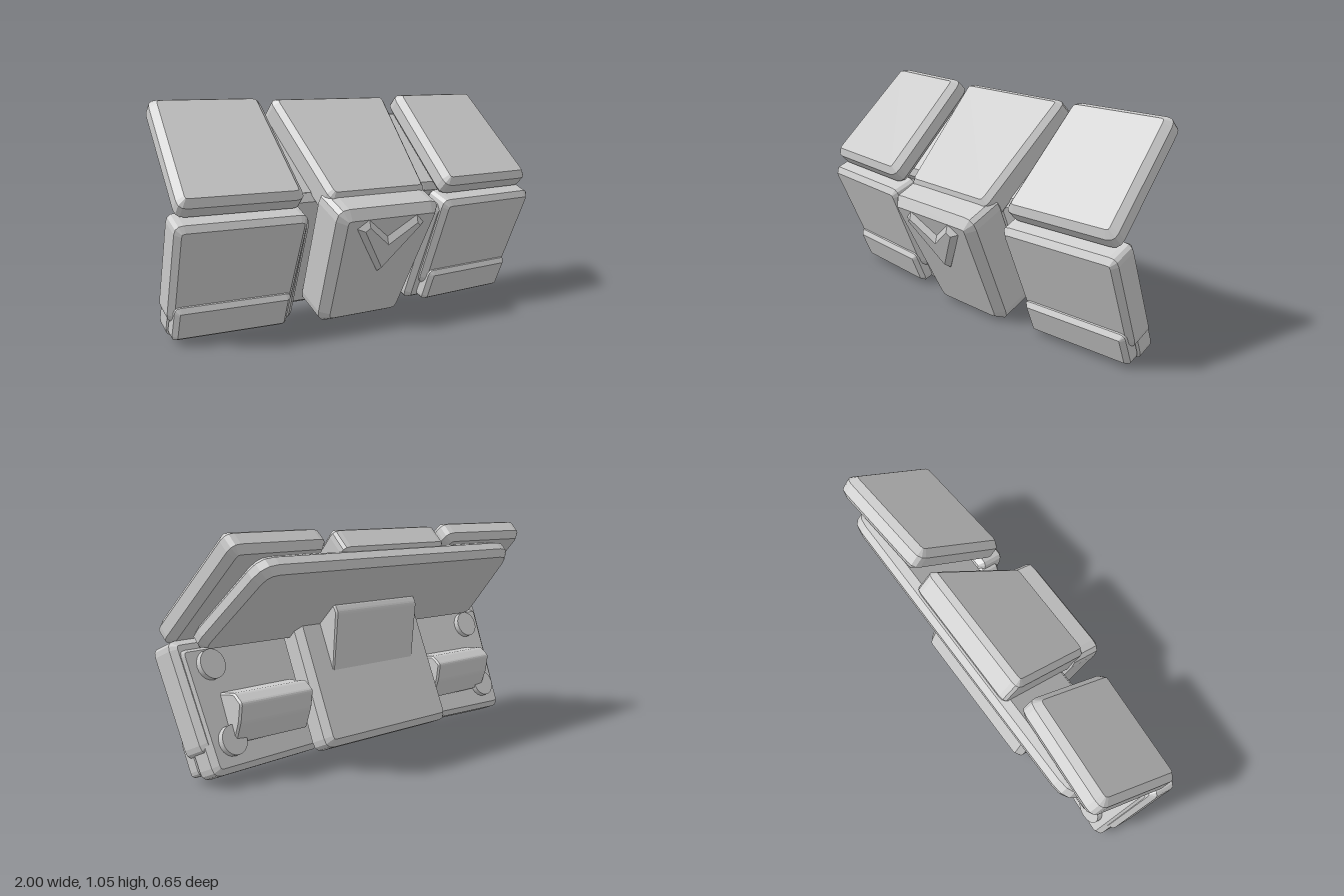
import * as THREE from 'three';

const grey = new THREE.MeshStandardMaterial({ color: 0xcccccc });
grey.name = 'plain grey';

const LOWER_TILT = THREE.MathUtils.degToRad(23);
const UPPER_TILT = THREE.MathUtils.degToRad(-45);

// Polygon with corners softened by r (sharp when r is 0)
function softShape(pts, r) {
  const v = pts.map(p => new THREE.Vector2(p[0], p[1]));
  if (r === 0) return new THREE.Shape(v);
  const shape = new THREE.Shape();
  v.forEach((p, i) => {
    const a = v[(i + v.length - 1) % v.length], b = v[(i + 1) % v.length];
    const pa = a.clone().sub(p).setLength(r).add(p);
    const pb = b.clone().sub(p).setLength(r).add(p);
    if (i === 0) shape.moveTo(pa.x, pa.y); else shape.lineTo(pa.x, pa.y);
    shape.quadraticCurveTo(p.x, p.y, pb.x, pb.y);
  });
  shape.closePath();
  return shape;
}

// Chamfered plate geometry: outline in x/y, from n0 (back) to n1 (front) along z
function plateGeometry(pts, n0, n1, bevel, r) {
  const geo = new THREE.ExtrudeGeometry(softShape(pts, r), {
    depth: n1 - n0 - 2 * bevel, bevelEnabled: true, bevelThickness: bevel,
    bevelSize: bevel, bevelOffset: -bevel, bevelSegments: 1, curveSegments: 3,
  });
  return geo.translate(0, 0, n0 + bevel);
}

function add(parent, name, geo) {
  const mesh = new THREE.Mesh(geo, grey);
  mesh.name = name;
  parent.add(mesh);
  return mesh;
}

const slab = (parent, name, pts, n0, n1, bevel = 0.025, r = 0.04) =>
  add(parent, name, plateGeometry(pts, n0, n1, bevel, r));

// Side profile given as [z, y], running from x0 to x1
const prism = (parent, name, profile, x0, x1) =>
  add(parent, name, plateGeometry(profile, -x1, -x0, 0.008, 0.012).rotateY(-Math.PI / 2));

// Symmetric trapezoid: half-widths at the bottom and top
const trapezoid = (wb, wt, y0, y1) => [[-wb, y0], [wb, y0], [wt, y1], [-wt, y1]];

// One-sided panel outline: inner and outer x at the bottom, then at the top
const wing = (s, inB, outB, inT, outT, y0, y1) =>
  [[s * inB, y0], [s * outB, y0], [s * outT, y1], [s * inT, y1]];

// Tilted group; outer panels (s = 1 or -1) also turn slightly away from the middle
function frame(parent, name, tilt, s = 0) {
  const g = new THREE.Group();
  g.name = name;
  g.position.x = s * 0.4;
  g.rotation.set(tilt, s * 0.075, 0, 'YXZ');
  parent.add(g);
  return g;
}

export function createModel() {
  const model = new THREE.Group();
  model.name = 'foldedArmourPlates';
  const lower = frame(model, 'lowerPlates', LOWER_TILT);
  const upper = frame(model, 'upperPlates', UPPER_TILT);

  // Lower middle: front block, slightly steeper than its backing
  const block = slab(lower, 'lowerCentreBlock', trapezoid(0.23, 0.29, 0.012, 0.645), -0.17, 0.068, 0.04, 0.06);
  block.rotation.x = 0.05;
  slab(lower, 'lowerBackBlock', trapezoid(0.4, 0.4, -0.017, 0.6), -0.287, -0.145, 0.03, 0.045);

  // Raised V on the front block
  const chevron = slab(lower, 'chevron',
    [[0, 0.305], [0.19, 0.56], [0.135, 0.607], [0, 0.5], [-0.135, 0.607], [-0.19, 0.56]],
    0.04, 0.1, 0.025, 0);
  chevron.rotation.x = 0.035;

  // Wedge on the back
  prism(model, 'backWedge',
    [[-0.137, 0.37], [0.03, 0.6], [-0.06, 0.69], [-0.145, 0.705], [-0.166, 0.67]], -0.265, 0.265);

  // Upper middle: front panel and the wide backing plate
  slab(upper, 'upperCentrePanel', trapezoid(0.27, 0.33, 0.27, 0.885), 0.46, 0.605, 0.025, 0.04);
  slab(upper, 'upperBackPlate', trapezoid(0.9, 0.8, 0.36, 0.876), 0.392, 0.492, 0.03, 0.08);

  for (const s of [1, -1]) {
    const side = s > 0 ? 'left' : 'right';

    // Upper outer panel
    const top = frame(model, side + 'UpperSide', UPPER_TILT, s);
    slab(top, side + 'UpperPanel', wing(s, -0.015, 0.57, 0.012, 0.545, 0.28, 0.885), 0.505, 0.622, 0.03, 0.045);

    // Lower outer panel, its backing plate and the bar along the bottom
    const low = frame(model, side + 'LowerSide', LOWER_TILT, s);
    slab(low, side + 'LowerPanel', wing(s, -0.02, 0.568, -0.03, 0.588, 0.105, 0.592), -0.14, 0.014, 0.025, 0.04);
    slab(low, side + 'LowerBackingPlate', wing(s, -0.06, 0.55, -0.06, 0.57, 0.002, 0.555), -0.152, -0.02, 0.025, 0.04);
    slab(low, side + 'LowerBar', wing(s, 0, 0.548, 0, 0.552, 0.027, 0.197), -0.05, 0.042, 0.02, 0.025);

    // Round pegs on the back
    for (const y of [0.46, 0.13]) {
      const peg = add(low, side + 'BackPeg', new THREE.CylinderGeometry(0.065, 0.065, 0.1, 20));
      peg.rotation.x = Math.PI / 2;
      peg.position.set(s * 0.435, y, -0.13);
    }

    // Small lug on the inner edge
    slab(low, side + 'InnerLug', wing(s, -0.045, 0.02, -0.045, 0.02, 0.22, 0.38), -0.1, -0.02, 0.012, 0.02);

    // Sloping box on the back
    prism(model, side + 'BackBox',
      [[0.03, 0.36], [-0.136, 0.382], [-0.184, 0.346], [-0.172, 0.263], [-0.136, 0.165], [-0.04, 0.18]],
      s > 0 ? 0.42 : -0.82, s > 0 ? 0.82 : -0.42);
  }
  return model;
}
